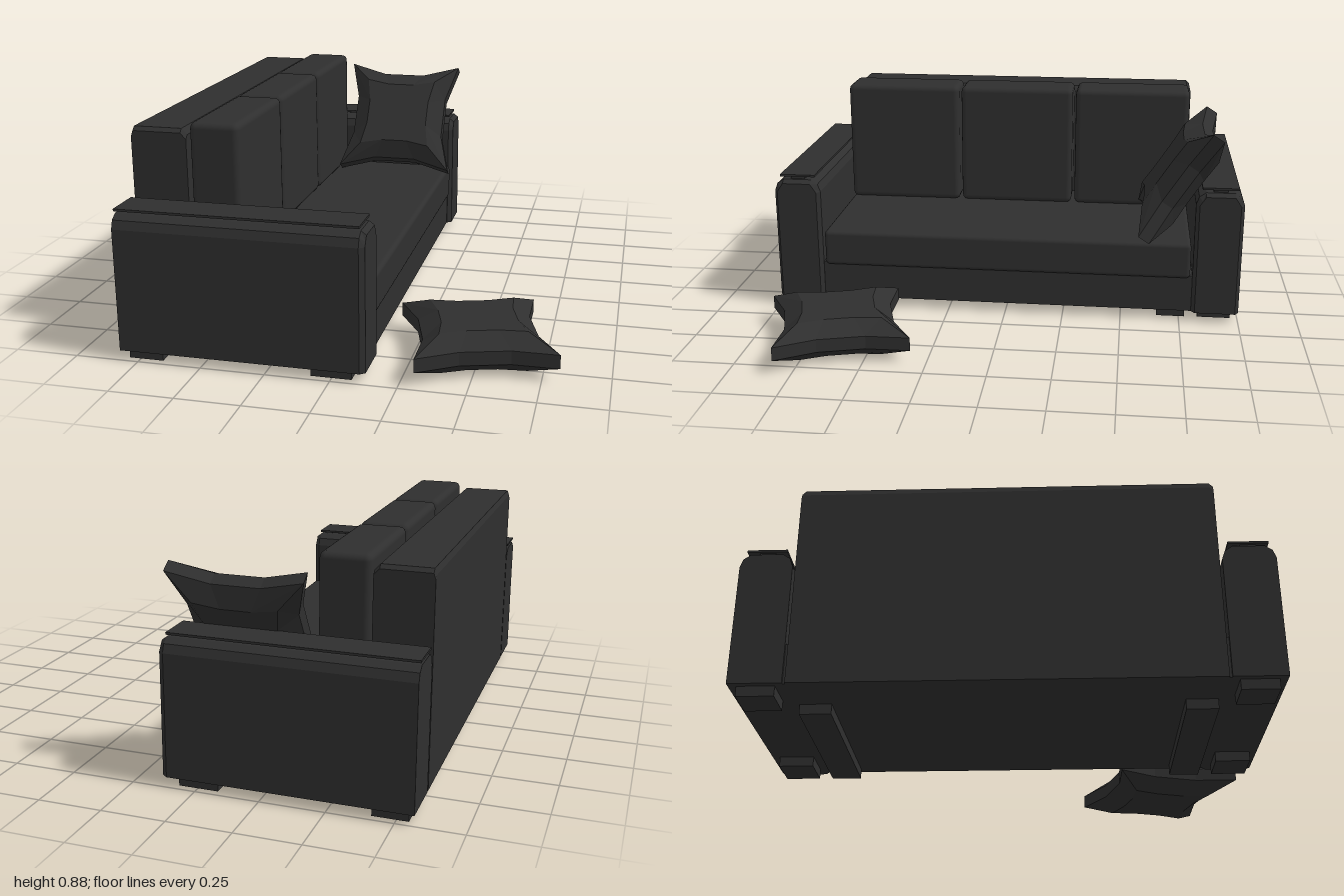
import * as THREE from 'three';
import { RoundedBoxGeometry } from 'three/addons/geometries/RoundedBoxGeometry.js';

const fabric = new THREE.MeshStandardMaterial({ color: 0x2f2f2f });
fabric.name = 'charcoal fabric';

// Closed flat-shaded solid through rings of [u, v] points at positions w along an axis
function loft(axis, rings) {
  const place = (u, v, w) => (axis === 'x' ? [w, u, v] : axis === 'y' ? [v, w, u] : [u, v, w]);
  const pos = [];
  const pts = rings.map(({ w, p }) => p.map(([u, v]) => place(u, v, w)));
  const mids = rings.map(({ w, p }) => place(
    p.reduce((s, q) => s + q[0], 0) / p.length, p.reduce((s, q) => s + q[1], 0) / p.length, w));
  const n = pts[0].length, last = pts.length - 1;
  for (let j = 0; j < n; j++) {
    const k = (j + 1) % n;
    for (let i = 0; i < last; i++) {
      const a = pts[i][j], b = pts[i][k], c = pts[i + 1][k], d = pts[i + 1][j];
      pos.push(...a, ...b, ...c, ...a, ...c, ...d);
    }
    pos.push(...mids[0], ...pts[0][k], ...pts[0][j]);
    pos.push(...mids[last], ...pts[last][j], ...pts[last][k]);
  }
  const g = new THREE.BufferGeometry();
  g.setAttribute('position', new THREE.Float32BufferAttribute(pos, 3));
  g.computeVertexNormals();
  return g;
}

// Square outline with concave sides, counter-clockwise
function pillowOutline(half, inset) {
  const side = [[half, -half], [half - inset, -half * 0.36], [half - inset, half * 0.36]];
  const out = [];
  for (let k = 0; k < 4; k++) {
    const c = Math.round(Math.cos(k * Math.PI / 2)), s = Math.round(Math.sin(k * Math.PI / 2));
    side.forEach(([u, v]) => out.push([u * c - v * s, u * s + v * c]));
  }
  return out;
}

export function createModel() {
  const model = new THREE.Group();
  model.name = 'sofa';

  const add = (name, geometry) => {
    const m = new THREE.Mesh(geometry, fabric);
    m.name = name;
    model.add(m);
    return m;
  };
  // Box given by its limits, rounded when r > 0
  const box = (name, [x0, x1], [y0, y1], [z0, z1], r = 0) => {
    const s = [x1 - x0, y1 - y0, z1 - z0];
    const g = r ? new RoundedBoxGeometry(...s, 2, r) : new THREE.BoxGeometry(...s);
    add(name, g).position.set((x0 + x1) / 2, (y0 + y1) / 2, (z0 + z1) / 2);
  };

  // Base and seat
  box('base', [-0.81, 0.11], [0.04, 0.2], [-0.8, 0.8]);
  box('seat', [-0.62, 0.125], [0.19, 0.345], [-0.79, 0.79], 0.018);

  // Backrest with chamfered top
  const back = (e) => [[-0.82, 0.04], [-0.6, 0.04], [-0.6, 0.835 - e], [-0.622, 0.858 - e],
    [-0.812, 0.858 - e], [-0.82, 0.835 - e]];
  add('backrest', loft('z', [
    { w: -0.79, p: back(0.015) }, { w: -0.775, p: back(0) },
    { w: 0.775, p: back(0) }, { w: 0.79, p: back(0.015) }]));

  // Three back cushions
  for (const z of [-0.523, 0.005, 0.53]) {
    box('backCushion', [-0.59, -0.395], [0.345, 0.885], [z - 0.257, z + 0.257], 0.025);
  }

  for (const s of [-1, 1]) {
    const zc = 0.9 * s;
    // Arm: rounded-top section with a bevelled front end
    const arm = (e) => [[0.04, -0.1 + e], [0.52, -0.1 + e], [0.553 - e, -0.088 + e], [0.572 - e, -0.06],
      [0.572 - e, 0.06], [0.553 - e, 0.088 - e], [0.52, 0.1 - e], [0.04, 0.1 - e]]
      .map(([y, z]) => [y, z + zc]).reverse();
    const rings = [{ w: -0.82, p: arm(0) }, { w: 0.112, p: arm(0) }, { w: 0.132, p: arm(0.015) }];
    rings.forEach((r) => r.p.reverse());
    add('arm', loft('x', rings));

    // Thin arm top on a narrow neck
    box('armTop', [-0.82, 0.11], [0.583, 0.592], [zc - 0.076, zc + 0.076]);
    box('armTopNeck', [-0.81, 0.1], [0.565, 0.585], [zc - 0.03, zc + 0.03]);

    // Feet under the arm and a long runner under the base
    box('backFoot', [-0.795, -0.66], [0, 0.045], [zc - 0.07, zc + 0.07]);
    box('frontFoot', [-0.08, 0.075], [0, 0.045], [zc - 0.07, zc + 0.07]);
    box('runner', [-0.625, 0.078], [0, 0.045], [0.715 * s - 0.06, 0.715 * s + 0.06]);
  }

  // Throw pillows
  const rim = pillowOutline(0.266, 0.048), face = pillowOutline(0.165, 0.02);
  const pillow = loft('y', [
    { w: -0.079, p: face }, { w: -0.027, p: rim }, { w: 0.027, p: rim }, { w: 0.079, p: face }]);
  const floorPillow = add('floorPillow', pillow);
  floorPillow.position.set(0.485, 0.08, 0.642);
  floorPillow.rotation.y = 0.286;
  const leaningPillow = add('leaningPillow', pillow);
  leaningPillow.position.set(-0.118, 0.588, -0.733);
  leaningPillow.rotation.x = 0.995;

  return model;
}
